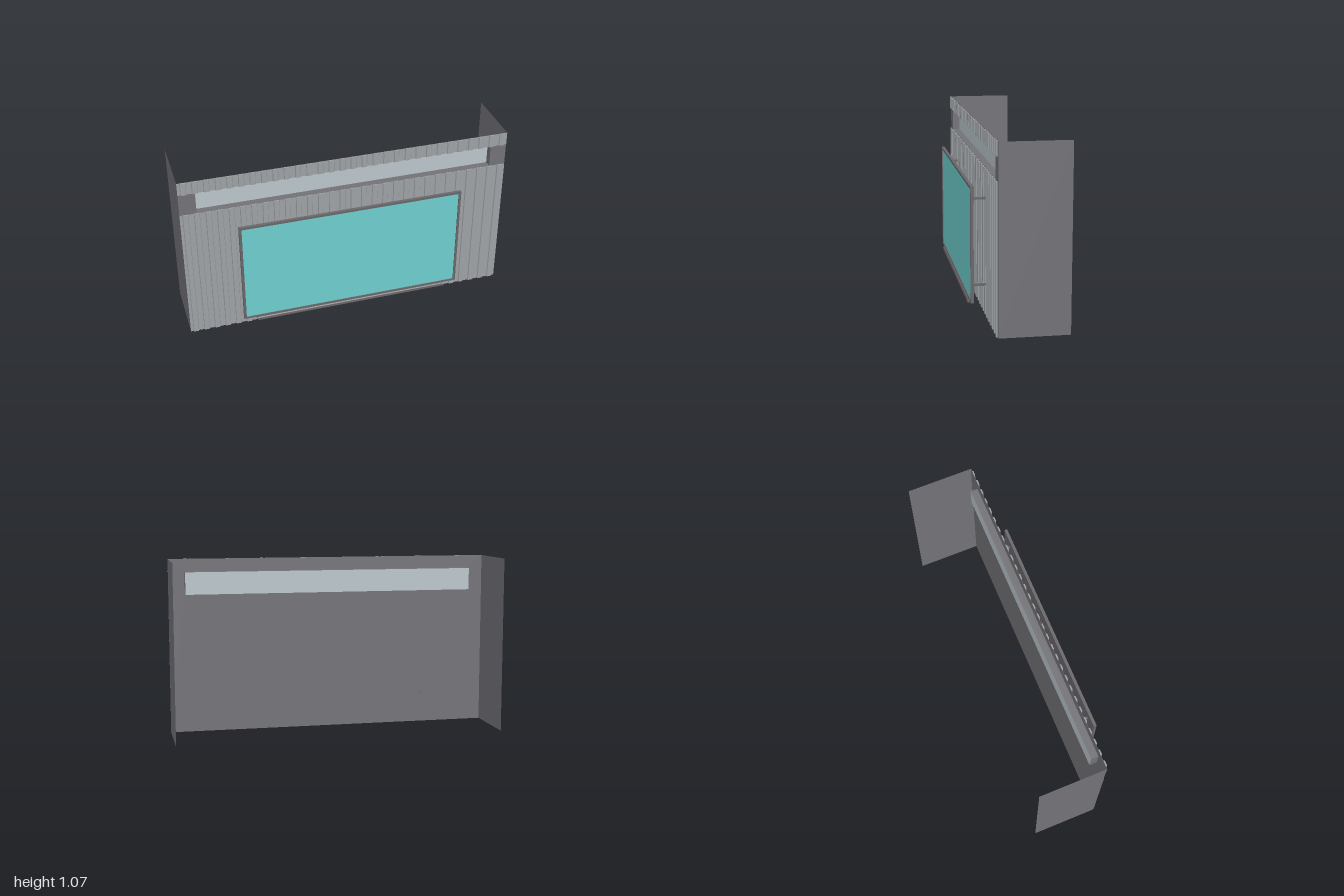
import * as THREE from 'three';
import { mergeGeometries } from 'three/addons/utils/BufferGeometryUtils.js';

const paint = (name, color, side = THREE.FrontSide) => {
  const m = new THREE.MeshStandardMaterial({ color, side });
  m.name = name;
  return m;
};

export function createModel() {
  const wallGrey = paint('wall grey', 0x727176, THREE.DoubleSide);
  const claddingGrey = paint('cladding grey', 0x9da1a4, THREE.DoubleSide);
  const frameGrey = paint('frame dark grey', 0x69666a);
  const glassBlue = paint('pale window glass', 0xbac5ca, THREE.DoubleSide);
  const teal = paint('screen teal', 0x6ecccc);

  const model = new THREE.Group();
  model.name = 'screenWall';
  const add = (name, geometry, material, x = 0, y = 0, z = 0, parent = model) => {
    const mesh = new THREE.Mesh(geometry, material);
    mesh.name = name;
    mesh.position.set(x, y, z);
    parent.add(mesh);
    return mesh;
  };
  const box = (name, w, h, d, material, x, y, z, parent) =>
    add(name, new THREE.BoxGeometry(w, h, d), material, x, y, z, parent);

  // Rectangle outline from its limits
  const rect = (Type, x0, x1, y0, y1) => new Type([
    [x0, y0], [x1, y0], [x1, y1], [x0, y1], [x0, y0],
  ].map(([x, y]) => new THREE.Vector2(x, y)));

  const top = 1.067, wallZ = 0.144, backZ = -0.255;
  const win = { x: 0.9, y0: 0.852, y1: 0.988, z: 0.1 };

  // Front wall with the long window opening
  const wall = rect(THREE.Shape, -1, 1, 0, top);
  wall.holes.push(rect(THREE.Path, -win.x, win.x, win.y0, win.y1));
  add('frontWall', new THREE.ShapeGeometry(wall), wallGrey, 0, 0, wallZ);

  // Thin side walls reaching backwards
  for (const s of [-1, 1]) {
    const side = add(s > 0 ? 'leftWall' : 'rightWall',
      new THREE.PlaneGeometry(wallZ - backZ, top), wallGrey,
      s, top / 2, (wallZ + backZ) / 2);
    side.rotation.y = s * Math.PI / 2;
  }

  // Window reveal and glass set behind the wall
  const depth = wallZ - win.z, revealZ = win.z + depth / 2;
  for (const y of [win.y0, win.y1]) {
    add('windowReveal', new THREE.PlaneGeometry(2 * win.x, depth), wallGrey, 0, y, revealZ)
      .rotation.x = -Math.PI / 2;
  }
  for (const s of [-1, 1]) {
    add('windowReveal', new THREE.PlaneGeometry(depth, win.y1 - win.y0), wallGrey,
      s * win.x, (win.y0 + win.y1) / 2, revealZ).rotation.y = s * Math.PI / 2;
  }
  add('windowGlass', new THREE.PlaneGeometry(2 * win.x, win.y1 - win.y0), glassBlue,
    0, (win.y0 + win.y1) / 2, win.z);

  // Ribbed cladding: a flat sheet with evenly spaced trapezoid ribs
  const ribCount = 30, pitch = 2 / ribCount;
  const cladding = (name, y0, y1) => {
    const h = y1 - y0;
    const section = new THREE.Shape([
      [-0.018, 0], [0.018, 0], [0.014, -0.008], [-0.014, -0.008],
    ].map(([x, y]) => new THREE.Vector2(x, y)));
    const ribs = [];
    for (let i = 0; i < ribCount; i++) {
      const rib = new THREE.ExtrudeGeometry(section, { depth: h, bevelEnabled: false });
      rib.rotateX(-Math.PI / 2);
      rib.translate(-1 + (i + 0.5) * pitch, 0, 0);
      ribs.push(rib);
    }
    add(name + 'Ribs', mergeGeometries(ribs), claddingGrey, 0, y0, wallZ + 0.001);
    const sheet = new THREE.PlaneGeometry(2, h);
    add(name + 'Sheet', sheet, claddingGrey, 0, y0 + h / 2, wallZ + 0.002);
  };
  cladding('lowerCladding', 0, win.y0);
  cladding('upperCladding', win.y1, top);

  // Screen: hollow frame, backing and teal face
  const screen = new THREE.Group();
  screen.name = 'screen';
  model.add(screen);
  const frame = rect(THREE.Shape, -0.683, 0.683, 0.103, 0.768);
  frame.holes.push(rect(THREE.Path, -0.668, 0.668, 0.114, 0.754));
  add('screenFrame', new THREE.ExtrudeGeometry(frame, { depth: 0.018, bevelEnabled: false }),
    frameGrey, 0, 0, 0.23, screen);
  box('screenBack', 1.336, 0.64, 0.008, frameGrey, 0, 0.434, 0.236, screen);
  box('screenFace', 1.336, 0.64, 0.003, teal, 0, 0.434, 0.2415, screen);

  // Tray under the screen, with chamfered upper edges
  const tray = new THREE.Shape([
    [-0.016, 0], [0.016, 0], [0.016, 0.016], [0.012, 0.021], [-0.012, 0.021], [-0.016, 0.016],
  ].map(([x, y]) => new THREE.Vector2(x, y)));
  const trayGeometry = new THREE.ExtrudeGeometry(tray, { depth: 1.2, bevelEnabled: false });
  trayGeometry.translate(0, 0, -0.6);
  trayGeometry.rotateY(Math.PI / 2);
  add('tray', trayGeometry, frameGrey, 0, 0.081, 0.239, screen);

  // Wall brackets
  for (const x of [-0.6, 0.6]) {
    for (const y of [0.185, 0.686]) {
      box('bracket', 0.012, 0.013, 0.088, frameGrey, x, y, 0.188, screen);
    }
  }
  return model;
}
